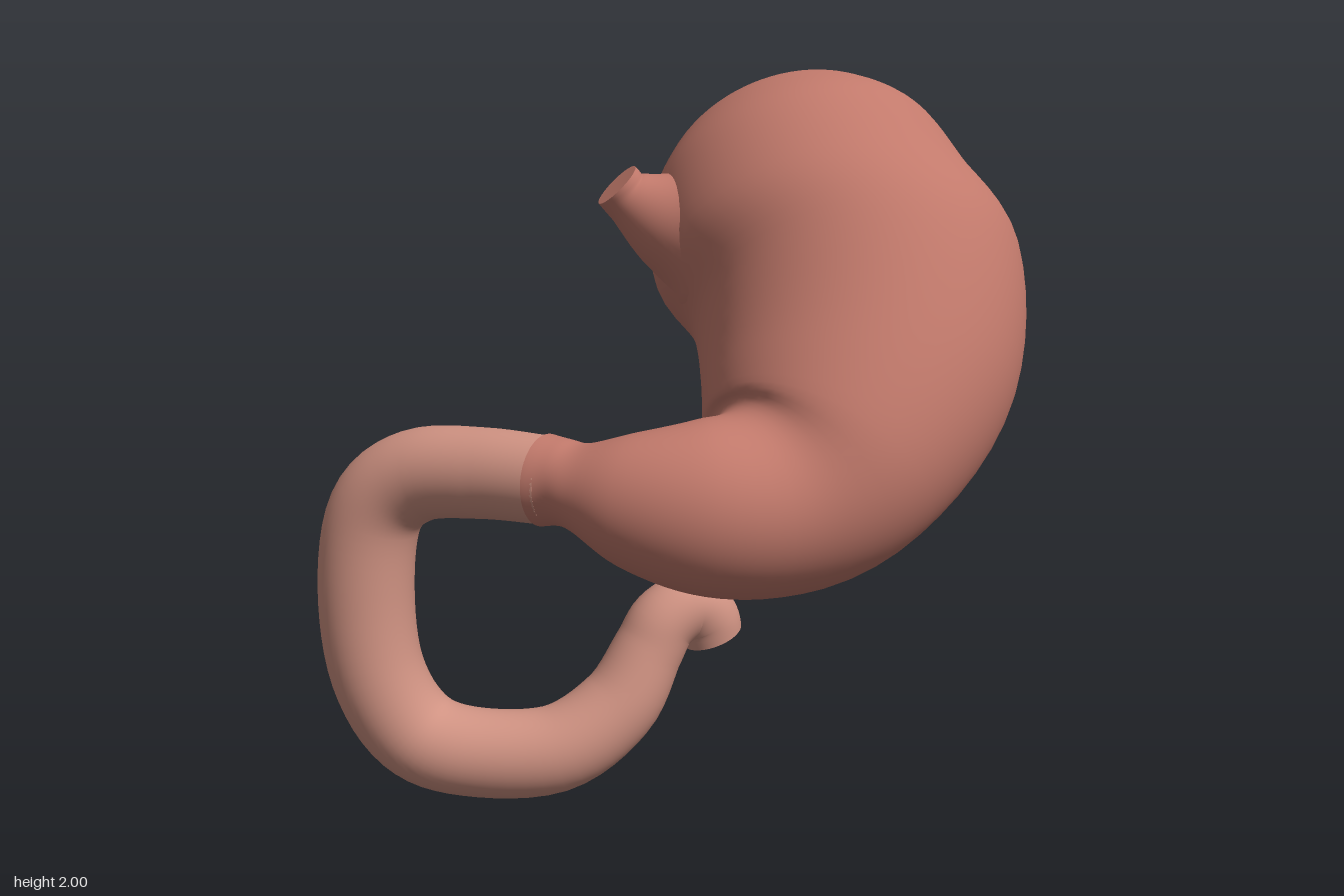
import * as THREE from 'three';

// Smooth spline through rows of three numbers, sampled uniformly per row.
const spline = rows =>
  new THREE.CatmullRomCurve3(rows.map(r => new THREE.Vector3(...r)), false, 'catmullrom', 0.5);

// Loft elliptical rings along a path. Section: { c: centre, r: [a, b], u: direction of radius a,
// n: normal of the ring's plane (the path's tangent if left out) }.
function loft(sections, { steps = 6, sides = 48, capStart = false, capEnd = false } = {}) {
  const path = spline(sections.map(s => s.c));
  const radii = spline(sections.map(s => [...s.r, 0]));
  const hints = spline(sections.map(s => s.u));
  const normals = sections[0].n && spline(sections.map(s => s.n));
  const rows = (sections.length - 1) * steps;
  const pos = [], index = [];

  for (let i = 0; i <= rows; i++) {
    const t = i / rows;
    const c = path.getPoint(t), r = radii.getPoint(t), U = hints.getPoint(t);
    const N = normals ? normals.getPoint(t).normalize() : path.getTangent(t);
    U.addScaledVector(N, -U.dot(N)).normalize();
    const W = new THREE.Vector3().crossVectors(N, U);
    for (let j = 0; j < sides; j++) {
      const a = (j / sides) * Math.PI * 2;
      const p = c.clone()
        .addScaledVector(U, Math.cos(a) * Math.max(r.x, 0.001))
        .addScaledVector(W, Math.sin(a) * Math.max(r.y, 0.001));
      pos.push(p.x, p.y, p.z);
      if (i < rows) {
        const k = (j + 1) % sides, A = i * sides, B = A + sides;
        index.push(A + j, A + k, B + k, A + j, B + k, B + j);
      }
    }
  }

  // Flat caps use their own vertices so the rim stays sharp.
  const cap = (row, flip) => {
    const base = pos.length / 3, c = path.getPoint(row / rows);
    pos.push(...pos.slice(row * sides * 3, (row + 1) * sides * 3), c.x, c.y, c.z);
    for (let j = 0; j < sides; j++) {
      const k = (j + 1) % sides;
      index.push(base + sides, base + (flip ? k : j), base + (flip ? j : k));
    }
  };
  if (capStart) cap(0, true);
  if (capEnd) cap(rows, false);

  const g = new THREE.BufferGeometry();
  g.setAttribute('position', new THREE.Float32BufferAttribute(pos, 3));
  g.setIndex(index);
  g.computeVertexNormals();
  return g;
}

export function createModel() {
  const model = new THREE.Group();
  const stomachMat = new THREE.MeshStandardMaterial({ color: 0xc1796b });
  const bowelMat = new THREE.MeshStandardMaterial({ color: 0xcf9282 });
  const add = (name, geometry, material) => {
    const mesh = new THREE.Mesh(geometry, material);
    mesh.name = name;
    model.add(mesh);
  };

  // Stomach: domed upper end, leaning forward and curling to the right
  const dome = [0.475, 1.53, -0.18], axis = [0.05, -0.78, 0.62], R = 0.47;
  const stomach = [0, 15, 30, 45, 65, 90].map(deg => {
    const phi = THREE.MathUtils.degToRad(deg);
    return {
      c: dome.map((v, i) => v - axis[i] * R * Math.cos(phi)),
      r: [0.485 * Math.sin(phi), 0.48 * Math.sin(phi)],
      u: [1, 0, 0],
      n: axis,
    };
  });
  stomach.push(
    { c: [0.52, 1.365, -0.005], r: [0.475, 0.49], u: [0.98, -0.15, 0], n: [-0.06, -0.8, 0.6] },
    { c: [0.42, 1.13, 0.185], r: [0.43, 0.44], u: [0.9, -0.42, 0], n: [-0.3, -0.8, 0.5] },
    { c: [0.21, 0.96, 0.325], r: [0.325, 0.355], u: [0.6, -0.8, 0], n: [-0.7, -0.6, 0.35] },
    { c: [0.02, 0.892, 0.36], r: [0.255, 0.27], u: [0.05, -1, 0], n: [-0.97, -0.1, 0.1] },
    { c: [-0.16, 0.9, 0.365], r: [0.225, 0.22], u: [0, -1, 0], n: [-0.95, 0.05, -0.3] },
    { c: [-0.31, 0.92, 0.3], r: [0.175, 0.17], u: [0, -1, 0], n: [-0.75, 0.08, -0.65] },
    { c: [-0.4, 0.94, 0.215], r: [0.118, 0.13], u: [0, -1, 0], n: [-0.65, 0.05, -0.75] },
    { c: [-0.44, 0.95, 0.17], r: [0.114, 0.115], u: [0, -1, 0], n: [-0.6, 0, -0.8] },
    { c: [-0.475, 0.95, 0.125], r: [0.122, 0.12], u: [0, -1, 0], n: [-0.6, 0, -0.8] },
  );
  add('stomach', loft(stomach, { capEnd: true, sides: 64 }), stomachMat);

  // Gullet stub flaring broadly into the inner side of the stomach
  const gullet = [
    [-0.11, 1.685, -0.265, 0.073],
    [-0.075, 1.65, -0.26, 0.08],
    [0.02, 1.595, -0.24, 0.14],
    [0.14, 1.55, -0.21, 0.22],
    [0.28, 1.48, -0.17, 0.27],
  ].map(([x, y, z, r]) => ({ c: [x, y, z], r: [r, r], u: [0, 0, 1] }));
  add('gulletStub', loft(gullet, { capStart: true }), stomachMat);

  // Duodenum: C-shaped tube, tapering toward its cut end
  const duodenum = [
    [-0.46, 0.95, 0.145, 0.116],
    [-0.6, 0.95, -0.02, 0.122],
    [-0.74, 0.925, -0.17, 0.127],
    [-0.835, 0.82, -0.25, 0.13],
    [-0.868, 0.6, -0.265, 0.132],
    [-0.85, 0.36, -0.245, 0.13],
    [-0.765, 0.19, -0.2, 0.129],
    [-0.63, 0.132, -0.12, 0.124],
    [-0.41, 0.14, -0.02, 0.122],
    [-0.235, 0.25, 0.01, 0.114],
    [-0.14, 0.4, 0.01, 0.1],
    [-0.09, 0.48, 0.01, 0.097],
    [-0.01, 0.515, 0.01, 0.095],
    [0.04, 0.475, 0.01, 0.093],
    [0.06, 0.42, 0.01, 0.088],
  ].map(([x, y, z, r]) => ({ c: [x, y, z], r: [r, r], u: [0, 0, 1] }));
  add('duodenum', loft(duodenum, { capStart: true, capEnd: true }), bowelMat);

  return model;
}
